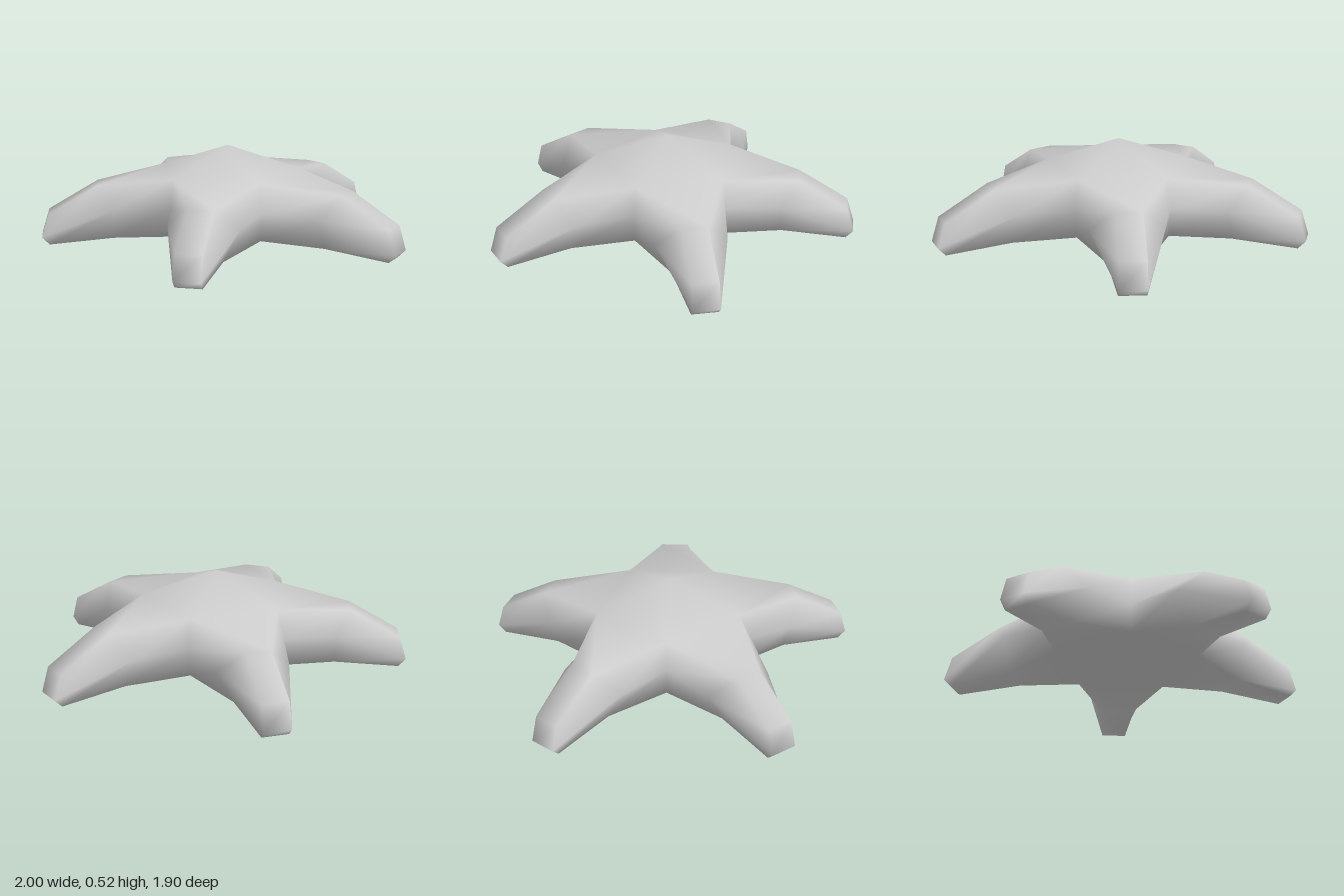
import * as THREE from 'three';
import { mergeVertices } from 'three/addons/utils/BufferGeometryUtils.js';

const ARMS = 5;
const STEP = (Math.PI * 2) / ARMS;
const CENTRE_Z = -0.08;

// Half cross-sections of an arm, from top to bottom: [half width, height, distance from centre]
const MIDDLE = [[0.07, 0.325, 0.72], [0.19, 0.21, 0.64], [0.1, 0.035, 0.64]];
const TIP = [[0.07, 0.17, 0.99], [0.07, 0.04, 1.03], [0.07, 0, 0.99]];
// Column of points in the notch between two arms: [radius, height]
const NOTCH = [[0.4, 0.38], [0.42, 0.22], [0.41, 0.07]];

function starGeometry() {
  const positions = [];
  const tri = (a, b, c) => positions.push(...a, ...b, ...c);
  const quad = (a, b, c, d) => { tri(a, b, c); tri(a, c, d); };

  // Point in an arm's own frame turned to its place on the body
  const place = (angle, x, y, z) => [
    z * Math.sin(angle) + x * Math.cos(angle),
    y,
    z * Math.cos(angle) - x * Math.sin(angle) + CENTRE_Z,
  ];
  const notch = (i) => NOTCH.map(([r, y]) => place((i + 0.5) * STEP, 0, y, r));
  const half = (i, side, section) => section.map(([w, y, z]) => place(i * STEP, side * w, y, z));
  const loop = (left, right) => [...left, ...right.reverse()];

  const peak = [0, 0.52, CENTRE_Z];
  const base = [0, 0.07, CENTRE_Z];

  for (let i = 0; i < ARMS; i++) {
    const rings = [
      loop(notch(i), notch((i + ARMS - 1) % ARMS)),
      loop(half(i, 1, MIDDLE), half(i, -1, MIDDLE)),
      loop(half(i, 1, TIP), half(i, -1, TIP)),
    ];
    // Skin of the arm
    for (let s = 0; s < 2; s++) {
      for (let j = 0; j < 6; j++) {
        const k = (j + 1) % 6;
        quad(rings[s][j], rings[s + 1][j], rings[s + 1][k], rings[s][k]);
      }
    }
    // Blunt end of the arm
    const t = rings[2];
    quad(t[0], t[5], t[4], t[1]);
    quad(t[1], t[4], t[3], t[2]);
    // Slices of the domed back and the underside
    tri(peak, rings[0][5], rings[0][0]);
    tri(base, rings[0][2], rings[0][3]);
  }

  const raw = new THREE.BufferGeometry();
  raw.setAttribute('position', new THREE.Float32BufferAttribute(positions, 3));
  const geometry = mergeVertices(raw);
  geometry.computeVertexNormals();
  return geometry;
}

export function createModel() {
  const group = new THREE.Group();
  group.name = 'starfish';
  const skin = new THREE.MeshStandardMaterial({ color: 0xcccccc });
  skin.name = 'pale grey';
  const body = new THREE.Mesh(starGeometry(), skin);
  body.name = 'starBody';
  group.add(body);
  return group;
}
